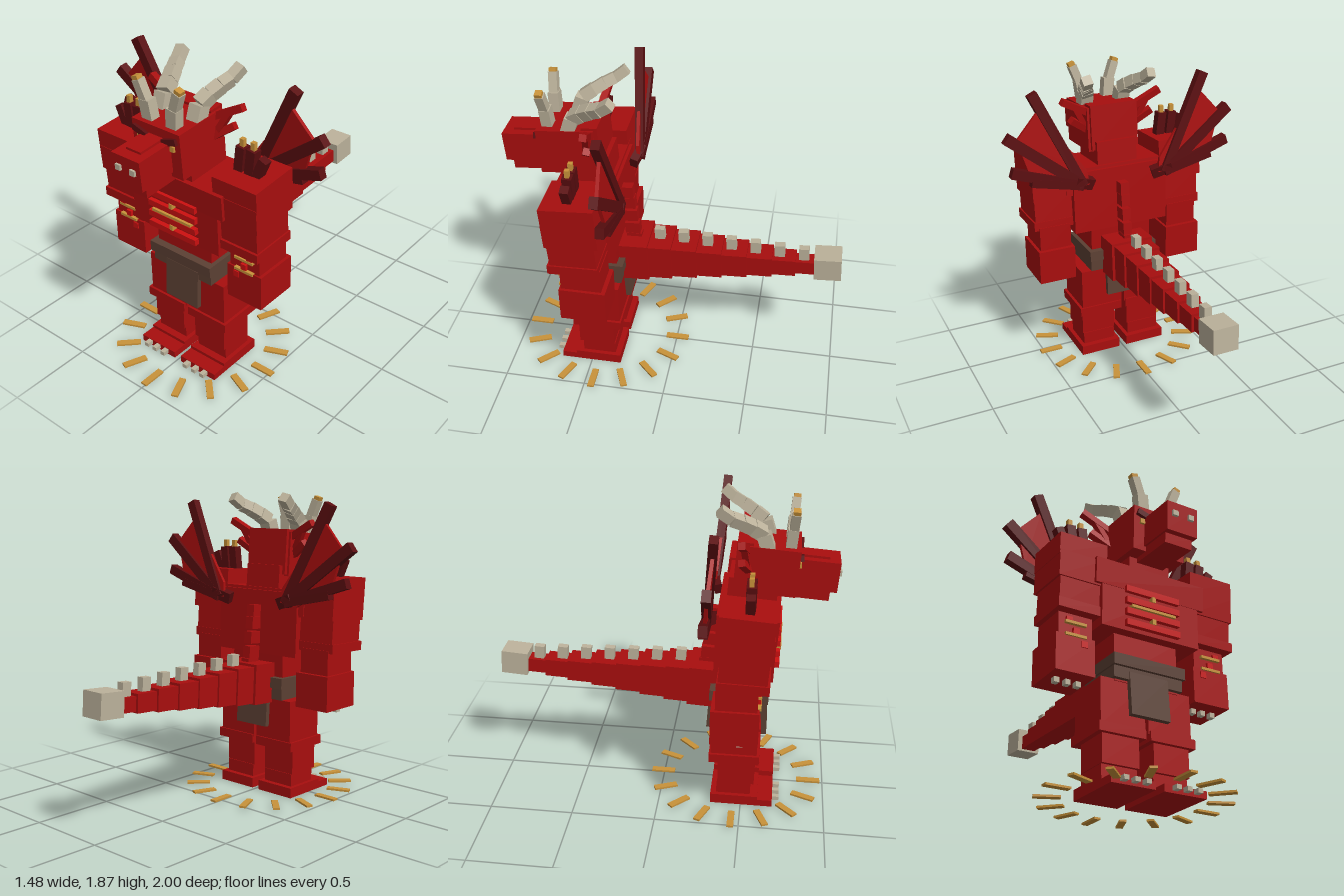
import * as THREE from 'three';

const mat = (name, color) => {
  const m = new THREE.MeshStandardMaterial({ color });
  m.name = name;
  return m;
};

export function createModel() {
  const red = mat('hide red', 0xa80e0e);
  const bright = mat('belly red', 0xcc1010);
  const dark = mat('dark red', 0x5a0d0f);
  const brown = mat('leather brown', 0x5c4033);
  const bone = mat('bone', 0xbcb29b);
  const gold = mat('gold', 0xc8923a);
  const LEAN = 0.07;
  const root = new THREE.Group();
  root.name = 'hornedBeast';

  // Box from its limits, optionally tipped forward about its centre
  function box(name, m, [x0, x1], [y0, y1], [z0, z1], rx = 0, rz = 0) {
    const mesh = new THREE.Mesh(new THREE.BoxGeometry(x1 - x0, y1 - y0, z1 - z0), m);
    mesh.position.set((x0 + x1) / 2, (y0 + y1) / 2, (z0 + z1) / 2);
    mesh.rotation.set(rx, 0, rz);
    mesh.name = name;
    root.add(mesh);
    return mesh;
  }
  // Square bar running from a to b
  function bar(name, m, a, b, w, d = w) {
    const A = new THREE.Vector3(...a), B = new THREE.Vector3(...b);
    const dir = B.clone().sub(A);
    const mesh = new THREE.Mesh(new THREE.BoxGeometry(w, dir.length(), d), m);
    mesh.position.copy(A).add(B).multiplyScalar(0.5);
    mesh.quaternion.setFromUnitVectors(new THREE.Vector3(0, 1, 0), dir.normalize());
    mesh.name = name;
    root.add(mesh);
    return mesh;
  }
  const mid = (h) => [-h, h];

  // Torso
  box('abdomen', red, mid(0.2), [0.6, 0.9], [0.33, 0.59]);
  box('ribcage', red, mid(0.31), [0.88, 1.27], [0.32, 0.66], 0.03);
  box('upperChest', red, mid(0.35), [1.13, 1.28], [0.34, 0.67], LEAN);
  box('neck', red, mid(0.13), [1.22, 1.42], [0.37, 0.65], LEAN);
  for (let i = 0; i < 4; i++) {
    const y = 1.12 - i * 0.068;
    box('bellyPlate', bright, mid(0.17), [y - 0.018, y + 0.018], [0.64, 0.685], 0.03);
  }
  box('chestBand', gold, mid(0.14), [1.008, 1.024], [0.65, 0.69]);
  for (const y of [1.086, 0.949]) box('chestStud', gold, mid(0.011), [y - 0.016, y + 0.016], [0.65, 0.69]);

  // Belt and loincloth
  box('belt', brown, mid(0.225), [0.68, 0.745], [0.29, 0.635], 0.02);
  box('beltSkirt', brown, mid(0.215), [0.61, 0.68], [0.305, 0.615]);
  box('frontCloth', brown, mid(0.12), [0.41, 0.655], [0.595, 0.625], -0.06);
  box('backCloth', brown, mid(0.12), [0.435, 0.64], [0.275, 0.305], 0.06);

  // Spine plates
  [[1.15, 0.285], [1.075, 0.275], [0.985, 0.262], [0.895, 0.25]].forEach(([y, z]) =>
    box('spinePlate', red, mid(0.028), [y - 0.037, y + 0.037], [z - 0.028, z + 0.06], LEAN));

  // Head and snout
  box('head', red, mid(0.165), [1.35, 1.62], [0.43, 0.76], LEAN);
  box('headBack', red, mid(0.15), [1.37, 1.645], [0.41, 0.5], LEAN);
  box('snout', red, mid(0.097), [1.36, 1.535], [0.74, 0.985], LEAN);
  box('snoutRidge', red, mid(0.05), [1.525, 1.55], [0.76, 0.93], LEAN);
  box('jaw', red, mid(0.085), [1.305, 1.365], [0.66, 0.94], LEAN);

  // Tail, tapering backwards
  const ends = [0.33, 0.16, 0.02, -0.13, -0.28, -0.43, -0.58, -0.72, -0.86];
  const widths = [0.137, 0.12, 0.107, 0.095, 0.085, 0.073, 0.06, 0.045];
  for (let i = 0; i < 8; i++) {
    const y = 0.715 + i * 0.004, h = 0.123 - i * 0.0115;
    box('tailSegment', red, mid(widths[i]), [y - h, y + h], [ends[i + 1] - 0.006, ends[i]], 0.05);
    if (i < 7) {
      const z = 0.1 - i * 0.145, top = 0.9 - i * 0.006;
      box('tailSpike', bone, mid(0.022), [top - 0.085, top], [z - 0.03, z + 0.03], LEAN);
    }
  }
  box('tailRoot', red, mid(0.03), [0.8, 0.86], [0.21, 0.3]);
  box('tailTip', bone, mid(0.075), [0.695, 0.84], [-0.995, -0.835], LEAN);

  // Ring of rays on the ground
  for (let i = 0; i < 16; i++) {
    const a = (i * Math.PI) / 8;
    const ray = box('groundRay', gold, mid(0.02), [0.009, 0.021], mid(0.0725));
    ray.position.x = Math.sin(a) * 0.458;
    ray.position.z = 0.452 + Math.cos(a) * 0.458;
    ray.rotation.y = a;
  }

  // Everything that is mirrored
  for (const s of [-1, 1]) {
    const side = (a, b) => (s > 0 ? [a, b] : [-b, -a]);
    const pt = (x, y, z) => [s * x, y, z];

    // Leg
    box('thigh', red, side(0.01, 0.28), [0.34, 0.61], [0.31, 0.585]);
    box('knee', red, side(0.015, 0.297), [0.3, 0.355], [0.3, 0.6]);
    box('shin', red, side(0.045, 0.267), [0.14, 0.31], [0.355, 0.575]);
    box('ankle', red, side(0.05, 0.262), [0.05, 0.14], [0.35, 0.555]);
    box('heel', red, side(0.025, 0.287), [0, 0.062], [0.315, 0.6]);
    box('foot', red, side(0.025, 0.287), [0, 0.042], [0.5, 0.69]);
    for (const x of [0.09, 0.155, 0.22])
      box('toeClaw', bone, side(x - 0.015, x + 0.015), [0.013, 0.038], [0.68, 0.73]);

    // Arm
    box('shoulder', red, side(0.275, 0.565), [1.25, 1.375], [0.35, 0.655], LEAN);
    box('upperArmGuard', red, side(0.3, 0.562), [1.12, 1.27], [0.345, 0.65], LEAN);
    box('upperArm', red, side(0.31, 0.55), [0.95, 1.14], [0.36, 0.63], LEAN);
    box('elbow', red, side(0.31, 0.56), [0.93, 0.985], [0.35, 0.64], 0.03);
    box('forearm', red, side(0.33, 0.53), [0.78, 0.95], [0.345, 0.58]);
    box('hand', red, side(0.315, 0.548), [0.587, 0.8], [0.32, 0.59]);
    for (const x of [0.367, 0.43, 0.495])
      box('fingerClaw', bone, side(x - 0.015, x + 0.015), [0.557, 0.595], [0.47, 0.505]);
    for (const y of [0.872, 0.8])
      box('armBand', gold, side(0.37, 0.495), [y - 0.008, y + 0.008], [0.57, 0.6]);
    for (const [x, y] of [[0.47, 0.885], [0.43, 0.825], [0.38, 0.76]])
      box('armStud', bright, side(x - 0.018, x + 0.018), [y - 0.018, y + 0.018], [0.57, 0.597]);

    // Shoulder spikes
    for (const x of [0.35, 0.42]) {
      bar('shoulderSpike', dark, pt(x, 1.36, 0.515), pt(x + 0.018, 1.515, 0.515), 0.055);
      const cx = x + 0.018;
      box('spikeTip', gold, side(cx - 0.013, cx + 0.013), [1.51, 1.558], [0.502, 0.528]);
    }
    bar('shoulderSpike', dark, pt(0.46, 1.36, 0.515), pt(0.51, 1.48, 0.515), 0.05);

    // Face
    box('nostril', bone, side(0.033, 0.067), [1.44, 1.472], [0.96, 1.0]);
    box('eye', gold, side(0.1, 0.128), [1.5, 1.53], [0.74, 0.775]);
    box('brow', dark, side(0.05, 0.15), [1.535, 1.57], [0.73, 0.785], 0, s * 0.3);
    bar('cheekSpike', red, pt(0.15, 1.6, 0.47), pt(0.32, 1.69, 0.45), 0.04);
    bar('cheekSpike', red, pt(0.14, 1.48, 0.49), pt(0.265, 1.57, 0.45), 0.04);
    bar('earSpike', red, pt(0.16, 1.5, 0.48), pt(0.235, 1.64, 0.46), 0.035);

    // Short front horn with a gold tip
    bar('frontHorn', bone, pt(0.08, 1.59, 0.71), pt(0.095, 1.72, 0.72), 0.07, 0.06);
    bar('frontHorn', bone, pt(0.095, 1.7, 0.72), pt(0.14, 1.82, 0.73), 0.05);
    bar('frontHornTip', gold, pt(0.136, 1.805, 0.73), pt(0.148, 1.84, 0.732), 0.04);

    // Long horn sweeping back
    const horn = [[0.12, 1.6, 0.59], [0.122, 1.69, 0.56], [0.14, 1.73, 0.5],
      [0.165, 1.765, 0.44], [0.187, 1.79, 0.385], [0.205, 1.84, 0.32]];
    for (let i = 0; i < 5; i++)
      bar('backHorn', bone, pt(...horn[i]), pt(...horn[i + 1]), 0.078 - i * 0.005);

    // Wing: bones fanning from the back, with a thin membrane
    const wz = (y) => 0.27 + (y - 1.2) * 0.08;
    const hub = pt(0.27, 1.22, wz(1.22));
    [[0.55, 1.805, 0.06], [0.72, 1.57, 0.065], [0.705, 1.365, 0.06], [0.59, 1.29, 0.05], [0.43, 1.62, 0.05]]
      .slice(0, 4).forEach(([x, y, w]) => bar('wingBone', dark, hub, pt(x, y, wz(y)), w, 0.05));
    bar('wingRoot', dark, pt(0.2, 1.21, 0.3), pt(0.32, 1.25, 0.27), 0.07, 0.05);
    const outline = [[0.23, 1.22], [0.24, 1.31], [0.52, 1.705], [0.66, 1.55], [0.6, 1.35], [0.35, 1.2]];
    const shape = new THREE.Shape(outline.map(([x, y]) => new THREE.Vector2(s * x, y - 1.2)));
    const membrane = new THREE.Mesh(
      new THREE.ExtrudeGeometry(shape, { depth: 0.02, bevelEnabled: false }), red);
    membrane.position.set(0, 1.2, 0.262);
    membrane.rotation.x = 0.08;
    membrane.name = 'wingMembrane';
    root.add(membrane);
  }
  return root;
}
